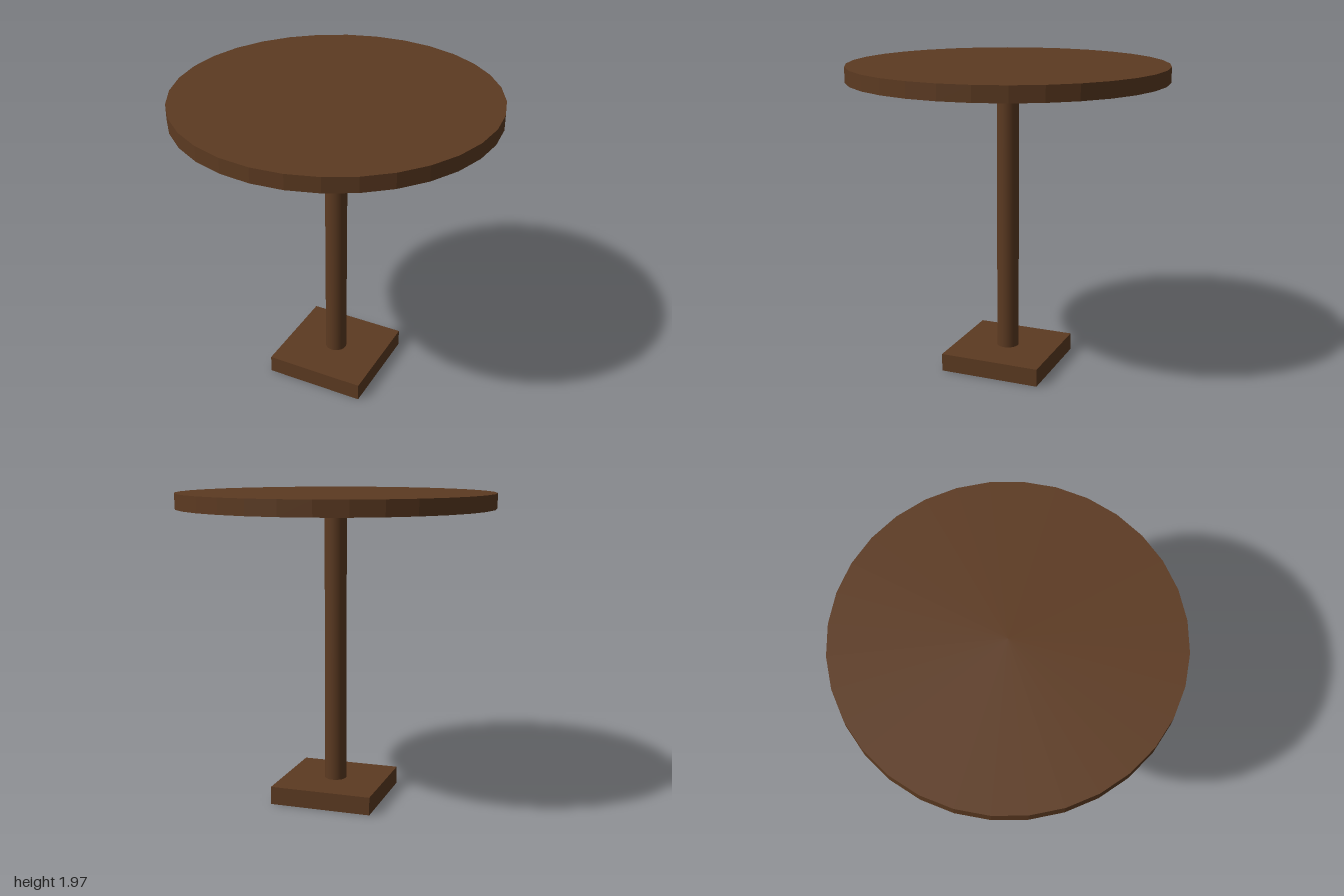
import * as THREE from 'three';

export function createModel() {
  const group = new THREE.Group();
  const wood = new THREE.MeshStandardMaterial({ color: 0x5c3a21 });
  wood.name = 'dark brown wood';

  const add = (name, geometry, y) => {
    const mesh = new THREE.Mesh(geometry, wood);
    mesh.name = name;
    mesh.position.y = y;
    group.add(mesh);
  };

  const baseHeight = 0.115, topBottom = 1.875, topHeight = 0.095;
  const columnHeight = topBottom - baseHeight;

  // square foot plate
  add('base', new THREE.BoxGeometry(0.655, baseHeight, 0.655), baseHeight / 2);

  // smooth round column
  add('column', new THREE.CylinderGeometry(0.07, 0.07, columnHeight, 32), baseHeight + columnHeight / 2);

  // faceted round table top
  const top = new THREE.CylinderGeometry(1, 1, topHeight, 32).toNonIndexed();
  top.computeVertexNormals();
  add('tableTop', top, topBottom + topHeight / 2);

  return group;
}
